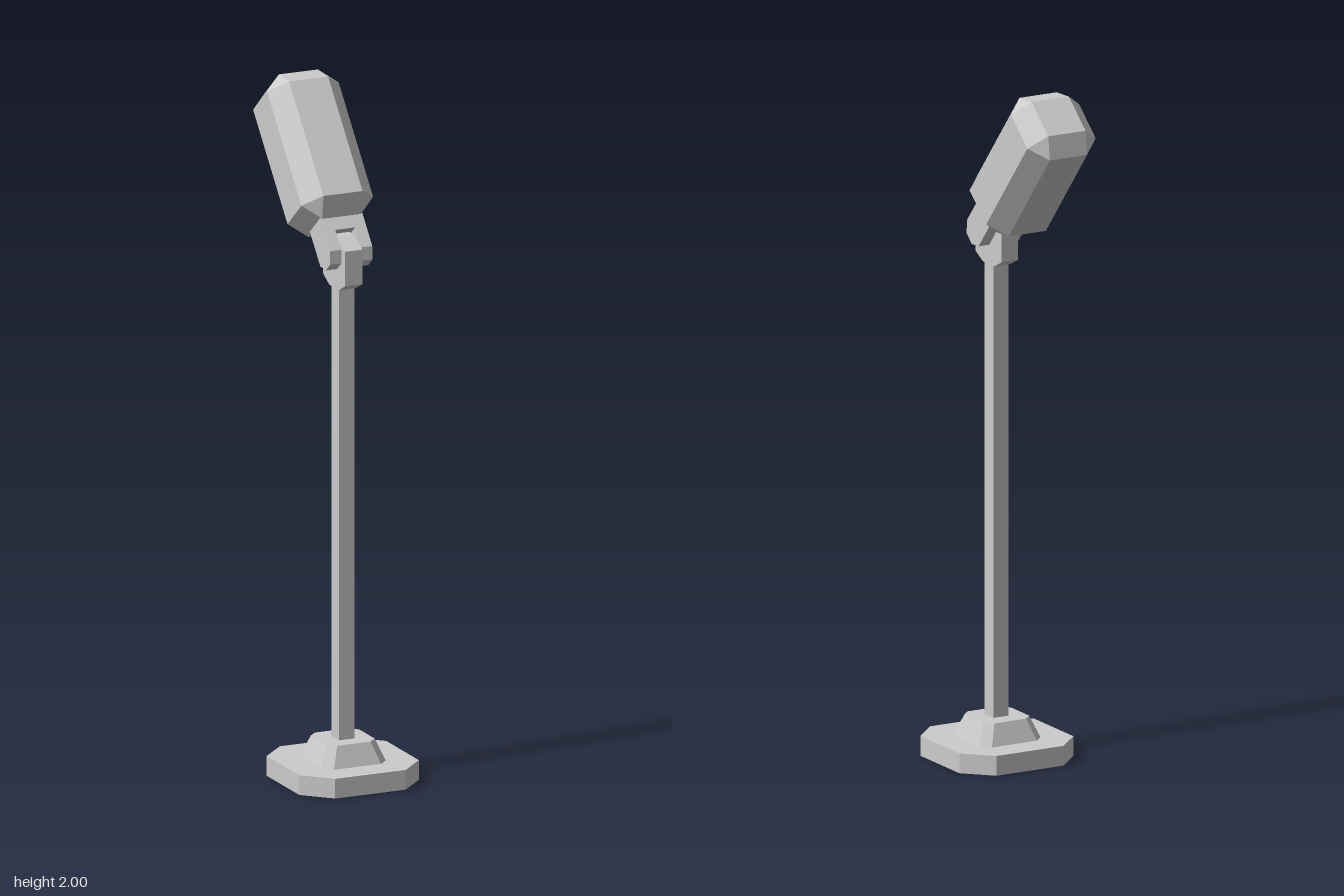
import * as THREE from 'three';
import { ConvexGeometry } from 'three/addons/geometries/ConvexGeometry.js';

const material = new THREE.MeshStandardMaterial({ color: 0xcccccc, flatShading: true });

function part(name, geometry, parent) {
  const mesh = new THREE.Mesh(geometry, material);
  mesh.name = name;
  parent.add(mesh);
  return mesh;
}

// Square with cut corners, at height y
function ring(half, flat, y) {
  const points = [];
  for (const sx of [-1, 1]) for (const sz of [-1, 1]) {
    points.push(new THREE.Vector3(sx * half, y, sz * flat), new THREE.Vector3(sx * flat, y, sz * half));
  }
  return points;
}

// Square end face of a chamfered block
function squareEnd(half, y) {
  return [-1, 1].flatMap(sx => [-1, 1].map(sz => new THREE.Vector3(sx * half, y, sz * half)));
}

// Profile given as [z, y] pairs, extruded along x about a centre
function plate(profile, width) {
  const shape = new THREE.Shape(profile.map(([z, y]) => new THREE.Vector2(z, y)));
  return new THREE.ExtrudeGeometry(shape, { depth: width, bevelEnabled: false })
    .translate(0, 0, -width / 2)
    .rotateY(-Math.PI / 2);
}

export function createModel() {
  const model = new THREE.Group();
  model.name = 'deskStand';

  // Stand: foot, tapered collar, square pole and hinge plate
  const stand = new THREE.Group();
  stand.name = 'stand';
  stand.position.z = 0.111;
  model.add(stand);
  part('foot', new ConvexGeometry([...ring(0.187, 0.11, 0), ...ring(0.187, 0.11, 0.058)]), stand);
  part('collar', new ConvexGeometry([...ring(0.1, 0.074, 0.058), ...ring(0.076, 0.052, 0.12)]), stand);
  part('pole', new THREE.BoxGeometry(0.049, 1.35, 0.049).translate(0, 0.785, 0.002), stand);
  part('hingePlate', plate([
    [0.032, 1.448], [0.074, 1.47], [0.074, 1.572], [0.016, 1.602],
    [-0.016, 1.602], [-0.074, 1.572], [-0.074, 1.47], [-0.032, 1.448],
  ], 0.054), stand);

  // Tilted head, long axis along local y
  const head = new THREE.Group();
  head.name = 'head';
  head.position.set(0.004, 1.786, -0.098);
  head.rotation.x = THREE.MathUtils.degToRad(-40);
  model.add(head);
  part('headShell', new ConvexGeometry([
    ...squareEnd(0.061, -0.228), ...ring(0.112, 0.061, -0.181),
    ...ring(0.112, 0.061, 0.181), ...squareEnd(0.061, 0.228),
  ]), head);

  // Fork straddling the hinge plate
  part('forkBridge', new THREE.BoxGeometry(0.132, 0.042, 0.09).translate(0, -0.246, 0.014), head);
  for (const side of [-1, 1]) {
    const prong = part(side > 0 ? 'leftProng' : 'rightProng', plate([
      [0.059, -0.262], [-0.031, -0.262], [-0.031, -0.335],
      [-0.003, -0.361], [0.035, -0.361], [0.059, -0.33],
    ], 0.035), head);
    prong.position.x = side * 0.0485;
  }
  return model;
}
